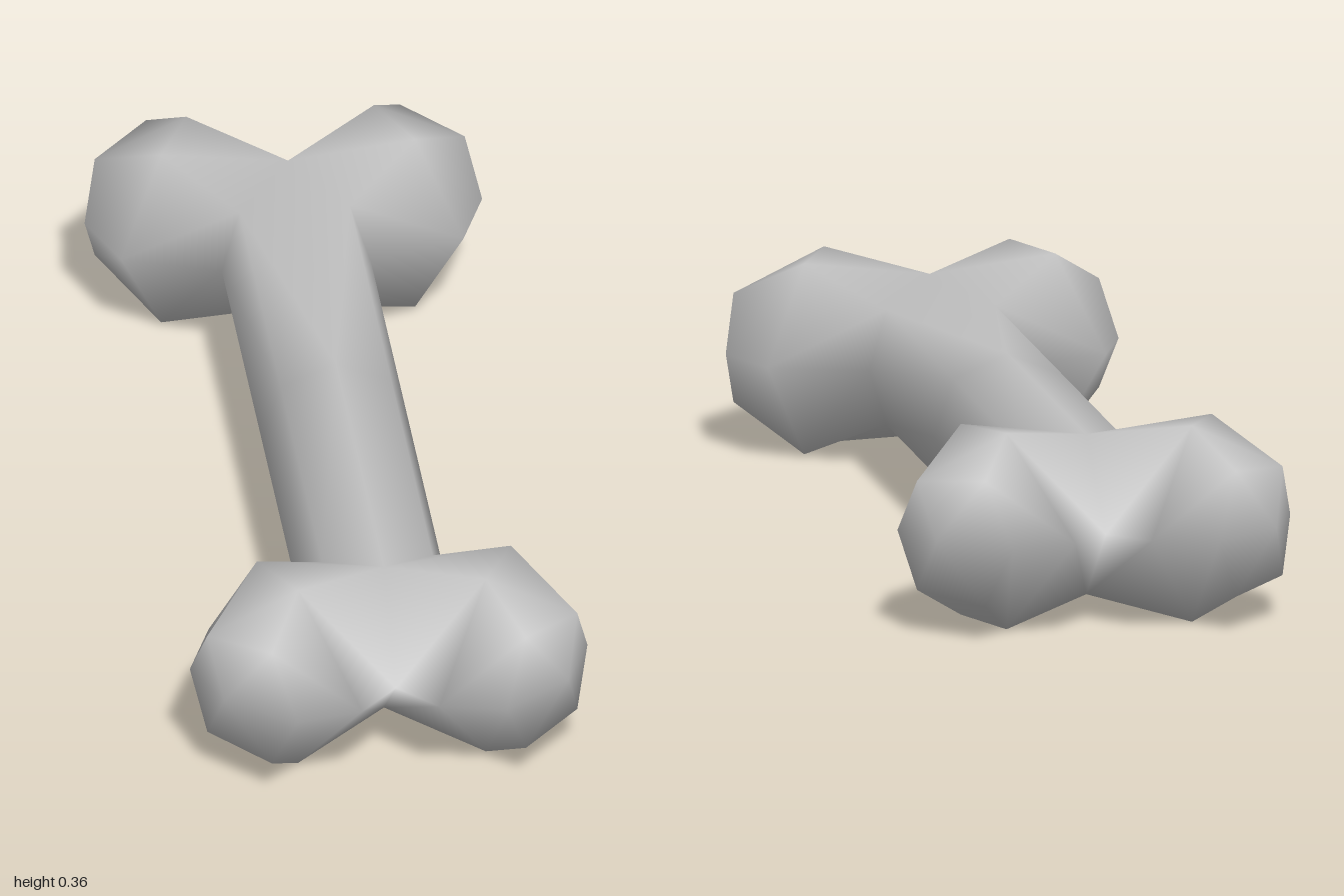
import * as THREE from 'three';
import { mergeVertices } from 'three/addons/utils/BufferGeometryUtils.js';

const MID = 0.18; // height of the bone's axis

// Six-sided ring, symmetric about y = MID: inner, two upper points, outer, two lower points
function ring(inner, upperA, upperB, outer) {
  const low = ([x, y, z]) => [x, 2 * MID - y, z];
  return [inner, upperA, upperB, outer, low(upperB), low(upperA)];
}

// Quads between two rings of points
function bridge(tris, a, b, closed) {
  const n = a.length;
  for (let i = 0; i < (closed ? n : n - 1); i++) {
    const j = (i + 1) % n;
    tris.push([a[i], b[i], b[j]], [a[i], b[j], a[j]]);
  }
}

function boneGeometry() {
  // Where the shaft splits: half its octagon plus the notch between the knobs
  const split = ring([0, MID, 0.9], [0, 0.327, 0.72], [0.1, 0.285, 0.62], [0.135, MID, 0.595]);
  const wide = ring([0.07, MID, 0.975], [0.17, 0.36, 0.84], [0.23, 0.355, 0.72], [0.31, MID, 0.655]);
  const narrow = ring([0.19, MID, 1], [0.23, 0.295, 0.945], [0.335, 0.28, 0.845], [0.36, MID, 0.79]);
  const pole = [0.312, MID, 0.907];

  // One quarter: half the shaft and one knob
  const quarter = [];
  const shaftEnd = split.slice(1);
  bridge(quarter, shaftEnd.map(([x, y]) => [x, y, 0]), shaftEnd, false);
  bridge(quarter, split, wide, true);
  bridge(quarter, wide, narrow, true);
  narrow.forEach((p, i) => quarter.push([p, pole, narrow[(i + 1) % 6]]));

  // Mirror to all four quarters, turning the faces where needed
  const positions = [];
  for (const sx of [1, -1]) for (const sz of [1, -1]) {
    for (const tri of quarter) {
      const corners = sx * sz > 0 ? tri : [tri[0], tri[2], tri[1]];
      for (const [x, y, z] of corners) positions.push(x * sx + 0, y, z * sz + 0);
    }
  }
  const geometry = new THREE.BufferGeometry();
  geometry.setAttribute('position', new THREE.Float32BufferAttribute(positions, 3));
  const welded = mergeVertices(geometry, 1e-4);
  welded.computeVertexNormals();
  return welded;
}

export function createModel() {
  const group = new THREE.Group();
  group.name = 'bone';
  const material = new THREE.MeshStandardMaterial({ color: 0xc0c0c0 });
  material.name = 'boneGrey';
  // Shaft and knobs form one smooth skin
  const skin = new THREE.Mesh(boneGeometry(), material);
  skin.name = 'shaftAndKnobs';
  group.add(skin);
  return group;
}
